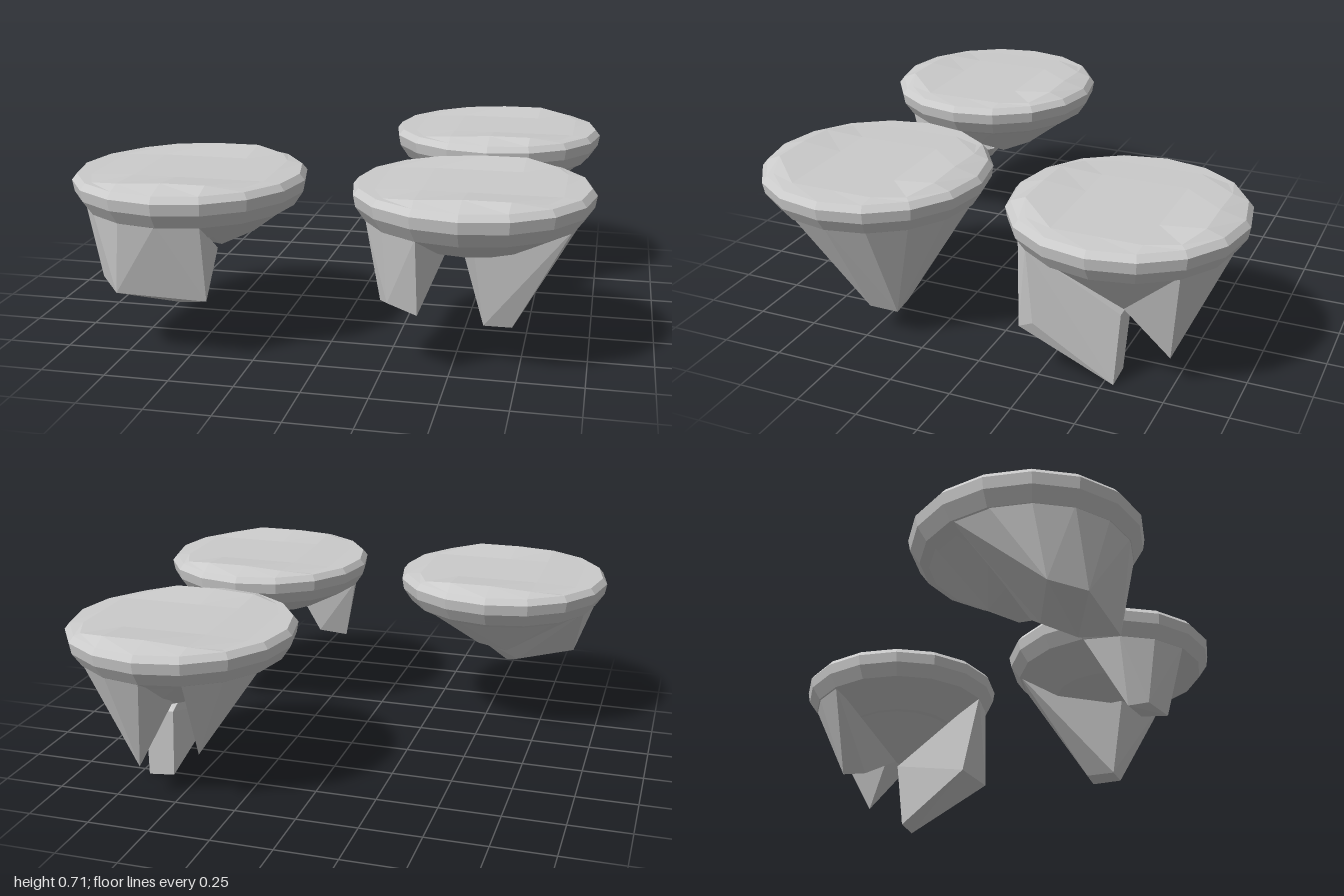
import * as THREE from 'three';
import { ConvexGeometry } from 'three/addons/geometries/ConvexGeometry.js';

const SIDES = 16;
const CELL = 0.17;
const STEP = (Math.PI * 2) / SIDES;
const material = new THREE.MeshStandardMaterial({ color: 0xcccccc, flatShading: true });

function addMesh(parent, geometry, name) {
  const mesh = new THREE.Mesh(geometry, material);
  mesh.name = name;
  parent.add(mesh);
  return mesh;
}

// Gently uneven plateau: raised at the front and back, low on one side
function topHeight(x, z) {
  if (Math.abs(z) > 0.3 && Math.abs(x) < 0.2) return x < -0.1 ? 0.7 : 0.71;
  return x < -0.3 ? 0.685 : 0.692;
}

// Lattice point of the plateau, with the corners drawn in to the round rim
function topPoint(x, z) {
  const k = Math.abs(x) > 0.3 && Math.abs(z) > 0.3 ? 0.85 : 1;
  return new THREE.Vector3(x * k, topHeight(x, z), z * k);
}

function makeTop() {
  const geometry = new THREE.PlaneGeometry(CELL * 4, CELL * 4, 4, 4).rotateX(-Math.PI / 2);
  const pos = geometry.attributes.position;
  for (let i = 0; i < pos.count; i++) {
    const p = topPoint(pos.getX(i), pos.getZ(i));
    pos.setXYZ(i, p.x, p.y, p.z);
  }
  geometry.computeVertexNormals();
  return geometry;
}

// Shallow bowl and rounded rim, ending on the plateau's border
function makeBody() {
  const profile = [[0, 0.43], [0.24, 0.47], [0.41, 0.56], [0.447, 0.615], [0.455, 0.66], [0.435, 0.685]];
  const rings = profile.map(([r, y]) => Array.from({ length: SIDES }, (_, i) =>
    new THREE.Vector3(r * Math.cos(i * STEP), y, r * Math.sin(i * STEP))));
  const square = (i) => THREE.MathUtils.clamp(4 - Math.min(i, SIDES - i), -2, 2) * CELL;
  rings.push(Array.from({ length: SIDES }, (_, i) => topPoint(square(i), square((i + 12) % SIDES))));

  const points = [];
  for (let k = 0; k < rings.length - 1; k++) {
    for (let i = 0; i < SIDES; i++) {
      const j = (i + 1) % SIDES;
      const a = rings[k][i], b = rings[k][j], c = rings[k + 1][j], d = rings[k + 1][i];
      points.push(a, d, c);
      if (k > 0) points.push(a, c, b);
    }
  }
  const geometry = new THREE.BufferGeometry().setFromPoints(points);
  geometry.computeVertexNormals();
  return geometry;
}

// Rock hanging from rim steps first..last (0 = +x, 4 = +z) down to its tips
function makeRock([cx, cz], first, last, tips) {
  const points = tips.map((t) => new THREE.Vector3(...t));
  for (let i = first; i <= last; i++) {
    points.push(new THREE.Vector3(cx + 0.41 * Math.cos(i * STEP), 0.57, cz + 0.41 * Math.sin(i * STEP)));
  }
  return new ConvexGeometry(points);
}

const islands = [
  {
    name: 'frontRightIsland', center: [-0.55, 0.52],
    rocks: [
      { name: 'broadKeel', arc: [3, 9], tips: [[-0.86, 0.28, 0.7], [-0.76, 0.26, 0.82], [-0.55, 0.2, 0.71],
        [-0.4, 0.255, 0.83], [-0.62, 0.25, 0.59], [-0.46, 0.36, 0.5]] },
      { name: 'backSlope', arc: [0, 15], tips: [[-0.46, 0.36, 0.45], [-0.6, 0.36, 0.38], [-0.31, 0.44, 0.5]] },
    ],
  },
  {
    name: 'frontLeftIsland', center: [0.55, 0.52],
    rocks: [
      { name: 'mainLeg', arc: [-5, 1], tips: [[0.6, 0.115, 0.5], [0.71, 0.115, 0.5], [0.72, 0.12, 0.37],
        [0.63, 0.13, 0.37], [0.56, 0.45, 0.57], [0.72, 0.48, 0.6]] },
      { name: 'smallLeg', arc: [5, 8], tips: [[0.23, 0.257, 0.68], [0.27, 0.275, 0.76], [0.39, 0.253, 0.81],
        [0.37, 0.26, 0.7], [0.47, 0.45, 0.68]] },
    ],
  },
  {
    name: 'backLeftIsland', center: [0.535, -0.525],
    rocks: [
      { name: 'underside', arc: [0, 15], tips: [[0.67, 0.31, -0.56], [0.54, 0.34, -0.54]] },
      { name: 'wedgeLeg', arc: [2, 4], tips: [[0.53, 0.21, -0.2], [0.79, 0.22, -0.19], [0.8, 0.25, -0.25],
        [0.71, 0, -0.54], [0.6, 0.01, -0.54], [0.7, 0.3, -0.56], [0.58, 0.3, -0.56]] },
      { name: 'pointedLeg', arc: [12, 14], tips: [[0.65, 0.13, -0.74], [0.67, 0.31, -0.56], [0.56, 0.36, -0.6]] },
      { name: 'shortLeg', arc: [9, 11], tips: [[0.39, 0.22, -0.75], [0.44, 0.23, -0.66], [0.52, 0.3, -0.54]] },
    ],
  },
];

export function createModel() {
  const model = new THREE.Group();
  model.name = 'floatingIslands';
  for (const { name, center, rocks } of islands) {
    const island = new THREE.Group();
    island.name = name;
    const [cx, cz] = center;
    addMesh(island, makeTop(), 'plateau').position.set(cx, 0, cz);
    addMesh(island, makeBody(), 'rim').position.set(cx, 0, cz);
    for (const rock of rocks) addMesh(island, makeRock(center, ...rock.arc, rock.tips), rock.name);
    model.add(island);
  }
  return model;
}
